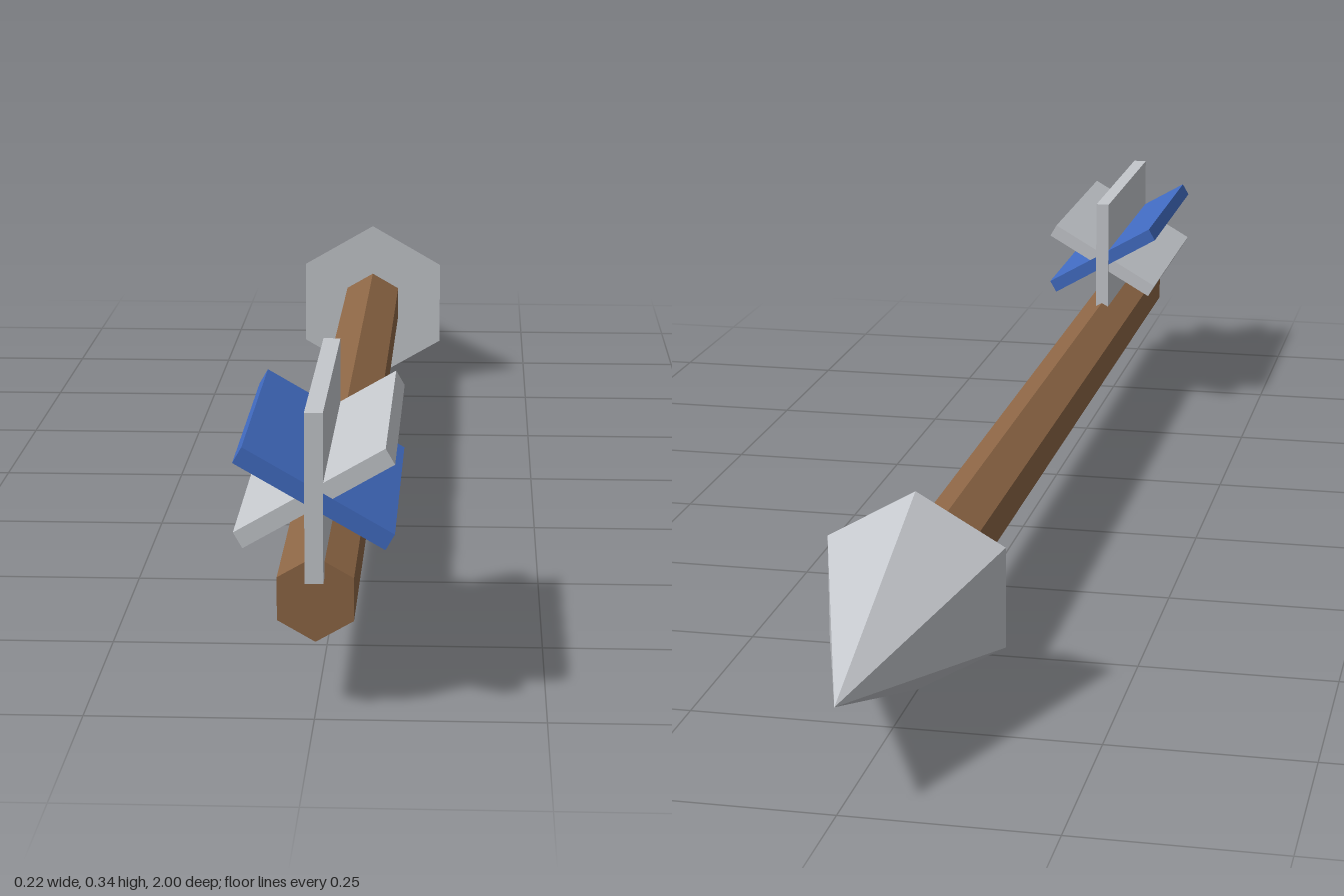
import * as THREE from 'three';

const material = (name, color) => {
  const m = new THREE.MeshStandardMaterial({ color });
  m.name = name;
  return m;
};

export function createModel() {
  const wood = material('brown wood', 0x8d6645);
  const grey = material('light grey', 0xc4c7cc);
  const blue = material('blue', 0x416bc1);
  const arrow = new THREE.Group();
  arrow.name = 'arrow';

  const add = (name, geometry, mat, y, z) => {
    const mesh = new THREE.Mesh(geometry, mat);
    mesh.name = name;
    mesh.position.set(0, y, z);
    arrow.add(mesh);
    return mesh;
  };

  // Six-sided prism or cone along z, tapering towards the back, flat faces
  const hexagonal = (backRadius, frontRadius, length) =>
    new THREE.CylinderGeometry(backRadius, frontRadius, length, 6)
      .rotateX(-Math.PI / 2)
      .toNonIndexed();
  const flat = (geometry) => {
    geometry.computeVertexNormals();
    return geometry;
  };

  const axisY = 0.128;
  add('shaft', flat(hexagonal(0.048, 0.048, 1.615)), wood, axisY, 0.1675);
  add('head', flat(hexagonal(0, 0.127, 0.37)), grey, axisY, -0.815);

  // Three crossed vanes; tiny length steps keep their ends from coinciding
  const vanes = [
    ['uprightVane', Math.PI / 2, grey, 0.37],
    ['blueVane', -Math.PI / 6, blue, 0.369],
    ['greyVane', Math.PI / 6, grey, 0.368],
  ];
  for (const [name, angle, mat, length] of vanes) {
    const vane = add(name, new THREE.BoxGeometry(0.187, 0.02, length), mat, 0.2465, 0.815);
    vane.rotation.z = angle;
  }
  return arrow;
}
